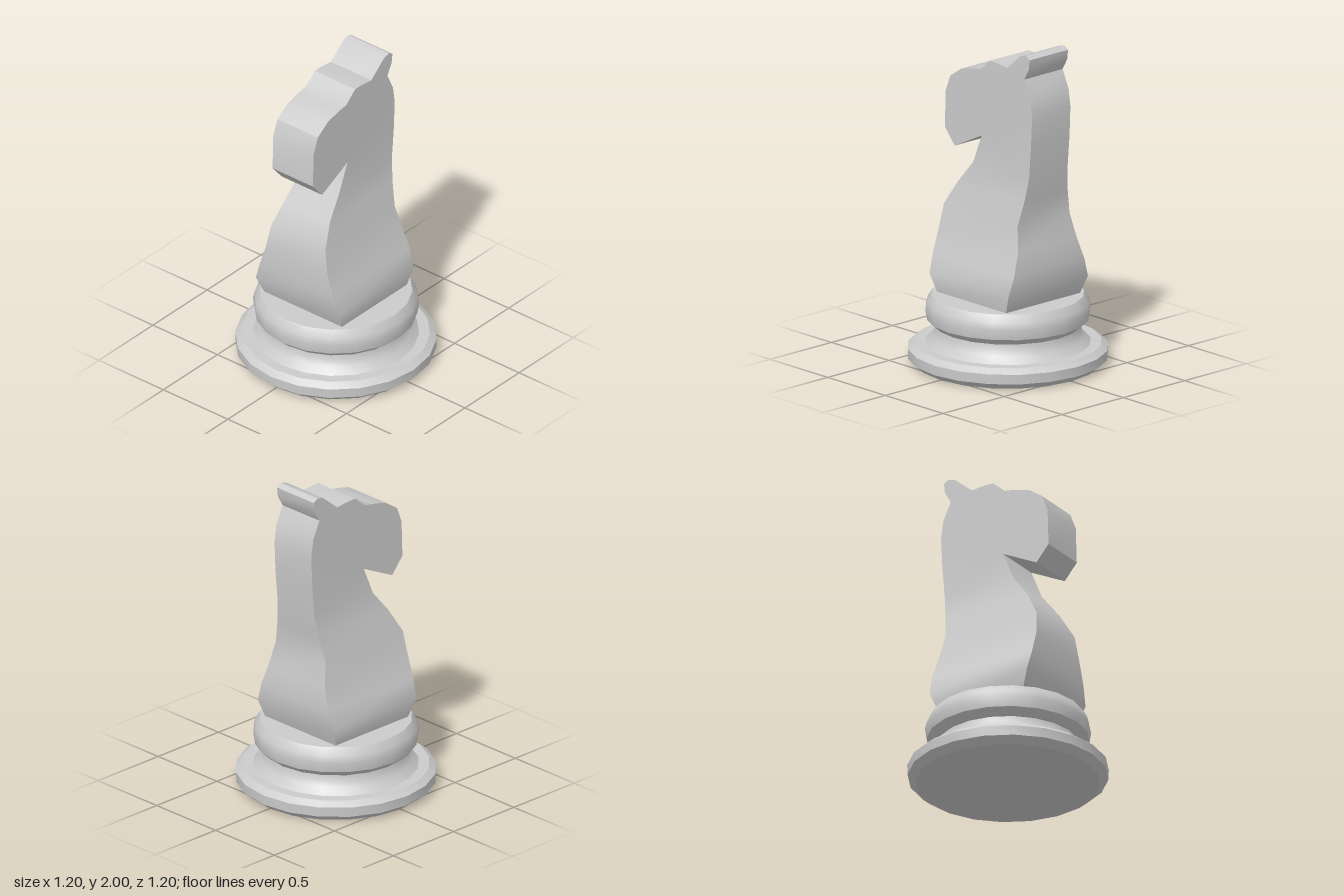
import * as THREE from 'three';
import { toCreasedNormals, mergeGeometries, mergeVertices } from 'three/addons/utils/BufferGeometryUtils.js';

const material = new THREE.MeshStandardMaterial({ color: 0xcccccc });

function addMesh(group, name, geometry, crease) {
  const mesh = new THREE.Mesh(toCreasedNormals(geometry, crease), material);
  mesh.name = name;
  group.add(mesh);
}

// Turned 20-sided pedestal from [radius, height] points
function turned(points) {
  return new THREE.LatheGeometry(points.map(([r, y]) => new THREE.Vector2(r, y)), 20);
}

// Body rows: [y, x left, x right, z front, z back]
const rows = [
  [0.43, -0.30, 0.30, 0.297, -0.305],
  [0.54, -0.345, 0.34, 0.316, -0.332],
  [0.66, -0.355, 0.35, 0.277, -0.293],
  [0.80, -0.355, 0.332, 0.231, -0.246],
  [0.95, -0.34, 0.30, 0.203, -0.219],
  [1.10, -0.255, 0.322, 0.168, -0.184],
  [1.24, -0.145, 0.34, 0.148, -0.165],
];

// Rectangular cross-sections joined by walls, open at both hidden ends
function bodyGeometry() {
  const positions = [];
  const corners = ([y, x0, x1, z0, z1]) => [[x0, y, z0], [x1, y, z0], [x1, y, z1], [x0, y, z1]];
  for (let i = 0; i + 1 < rows.length; i++) {
    const a = corners(rows[i]), b = corners(rows[i + 1]);
    for (let j = 0; j < 4; j++) {
      const k = (j + 1) % 4;
      positions.push(...a[j], ...a[k], ...b[k], ...a[j], ...b[k], ...b[j]);
    }
  }
  const geometry = new THREE.BufferGeometry();
  geometry.setAttribute('position', new THREE.Float32BufferAttribute(positions, 3));
  return geometry;
}

// Head and upper neck: flat outline of constant thickness
function headGeometry() {
  const outline = [
    [-0.145, 1.24], [0.34, 1.24], [0.358, 1.45], [0.366, 1.63], [0.35, 1.74], [0.298, 1.85], // nape
    [0.338, 1.92], [0.345, 1.98], [0.315, 2.0], [0.27, 1.99], [0.15, 1.89], // ear
    [0.06, 1.9], [0, 1.9], [-0.08, 1.83], [-0.15, 1.82], [-0.25, 1.795], // brow
    [-0.345, 1.73], [-0.383, 1.63], [-0.39, 1.405], [-0.305, 1.305], [-0.07, 1.42], // muzzle and jaw
  ];
  const shape = new THREE.Shape(outline.map(([x, y]) => new THREE.Vector2(x, y)));
  const geometry = new THREE.ExtrudeGeometry(shape, { depth: 0.313, bevelEnabled: false });
  geometry.translate(0, 0, -0.165);
  geometry.deleteAttribute('uv');
  geometry.deleteAttribute('normal');
  return geometry;
}

export function createModel() {
  const group = new THREE.Group();
  group.name = 'chessKnight';

  addMesh(group, 'baseDisc', turned([
    [0, 0], [0.55, 0], [0.598, 0.04], [0.6, 0.10], [0.56, 0.13], [0.48, 0.13],
  ]), 0.6);
  addMesh(group, 'baseWaist', turned([
    [0.495, 0.13], [0.455, 0.17], [0.435, 0.205], [0.43, 0.24],
  ]), 0.6);
  addMesh(group, 'baseCollar', turned([
    [0.40, 0.24], [0.44, 0.24], [0.485, 0.28], [0.495, 0.34], [0.485, 0.385], [0.455, 0.43], [0, 0.43],
  ]), 0.6);

  // Horse: body and head share one smoothed surface
  const horse = mergeVertices(mergeGeometries([bodyGeometry(), headGeometry()]));
  addMesh(group, 'horse', horse, 0.6);
  return group;
}
